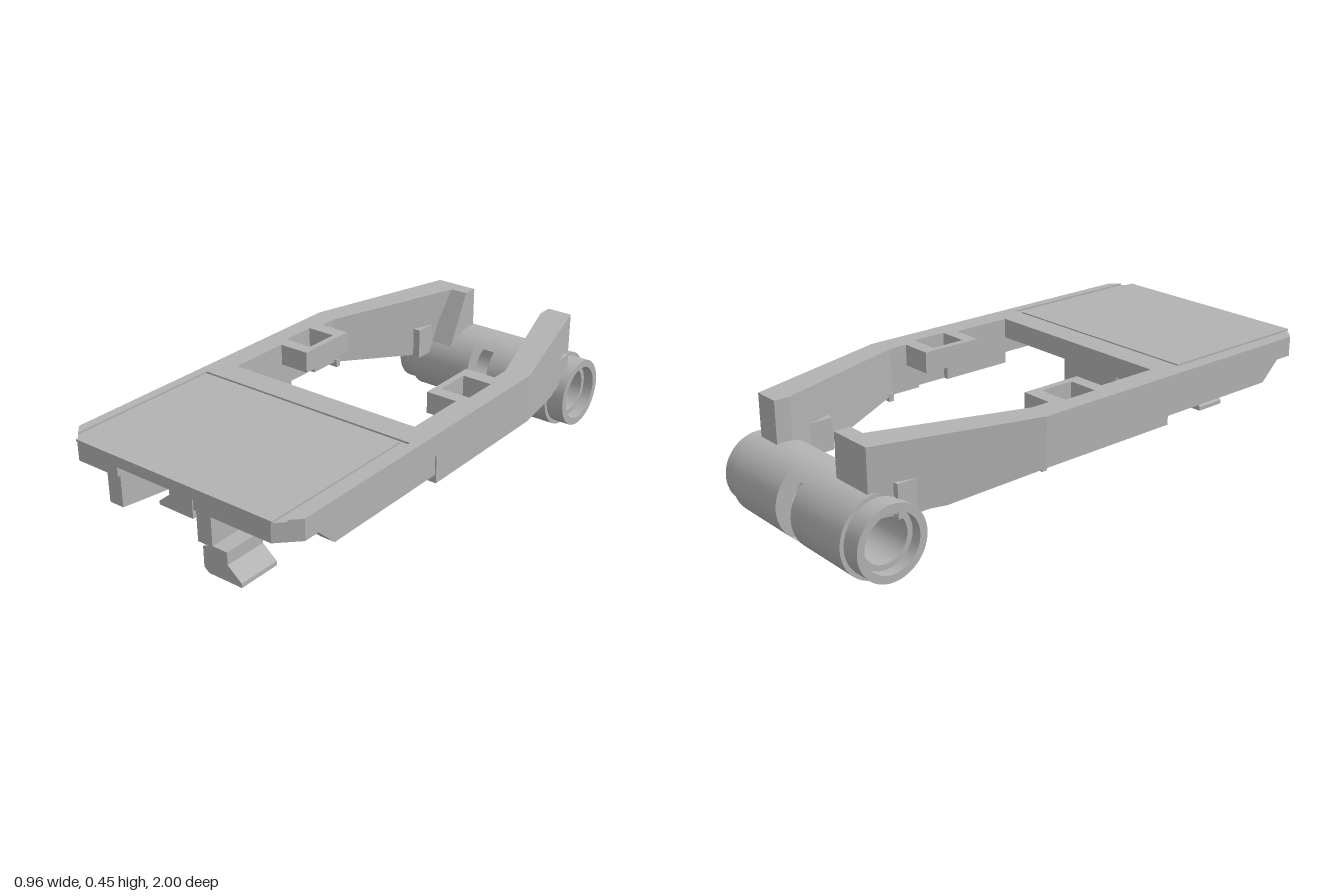
import * as THREE from 'three';
import { toCreasedNormals } from 'three/addons/utils/BufferGeometryUtils.js';

const grey = new THREE.MeshStandardMaterial({ color: 0xb2b2b2 });
grey.name = 'grey plastic';

const toShape = (pts) => new THREE.Shape(pts.map(([a, b]) => new THREE.Vector2(a, b)));
const extrude = (pts, depth) => new THREE.ExtrudeGeometry(toShape(pts), { depth, bevelEnabled: false });

// Outline in (x, z), filled from y0 to y1
const plan = (pts, y0, y1) => extrude(pts, y1 - y0).rotateX(Math.PI / 2).translate(0, y1, 0);
// Outline in (z, y), filled from x0 to x1
const side = (pts, x0, x1) => extrude(pts, x1 - x0).rotateY(-Math.PI / 2).translate(x1, 0, 0);
// Outline in (x, y), filled from z0 to z1
const front = (pts, z0, z1) => extrude(pts, z1 - z0).translate(0, 0, z0);
const box = (x0, x1, y0, y1, z0, z1) =>
  new THREE.BoxGeometry(x1 - x0, y1 - y0, z1 - z0).translate((x0 + x1) / 2, (y0 + y1) / 2, (z0 + z1) / 2);

export function createModel() {
  const model = new THREE.Group();
  const add = (name, geometry) => {
    const mesh = new THREE.Mesh(geometry, grey);
    mesh.name = name;
    model.add(mesh);
    return mesh;
  };

  // Front plate: full upper layer, lower layer with a pocket open to the front
  add('plateTop', plan([[-0.48, 0.27], [0.48, 0.27], [0.48, 0.93], [0.41, 1], [-0.41, 1], [-0.48, 0.93]], 0.41, 0.443));
  add('plateUnderside', plan([[-0.48, 0.27], [0.48, 0.27], [0.48, 0.93], [0.41, 1], [0.1, 1], [0.1, 0.43],
    [-0.23, 0.43], [-0.23, 1], [-0.41, 1], [-0.48, 0.93]], 0.375, 0.41));
  // Raised top panel and rims, leaving shallow grooves between
  add('topPanel', box(-0.415, 0.415, 0.443, 0.45, 0.38, 1));
  add('rearRim', box(-0.48, 0.48, 0.443, 0.45, 0.27, 0.37));

  for (const s of [1, -1]) {
    const mx = (pts) => pts.map(([x, z]) => [s * x, z]);
    const sideName = s > 0 ? 'left' : 'right';
    const span = (a, b) => (s > 0 ? [a, b] : [-b, -a]);

    add(sideName + 'Rim', plan(mx([[0.445, 0.37], [0.48, 0.37], [0.48, 0.93], [0.445, 0.965]]), 0.443, 0.45));
    // Side rail, notched for the window
    add(sideName + 'Rail', plan(mx([[0.39, -0.28], [0.48, -0.3], [0.48, 0.27], [0.39, 0.27], [0.39, -0.02],
      [0.41, -0.02], [0.41, -0.155], [0.39, -0.155]]), 0.27, 0.45));
    // Square socket on the inside of the rail
    add(sideName + 'Socket', plan(mx([[0.39, -0.21], [0.39, -0.155], [0.295, -0.155], [0.295, -0.02], [0.39, -0.02],
      [0.39, 0.03], [0.27, 0.03], [0.27, -0.21]]), 0.37, 0.45));
    // Underside fin with a sloping nose
    add(sideName + 'Fin', side([[0.87, 0.375], [0.79, 0.3], [0.25, 0.3], [0.25, 0.375]], ...span(0.42, 0.475)));
    add(sideName + 'Nub', box(...span(0.38, 0.46), 0.25, 0.28, -0.3, -0.28));

    // Converging arm, its lower edge dropping toward the barrel
    const arm = plan(mx([[0.48, -0.3], [0.383, -0.63], [0.31, -0.88], [0.21, -0.88], [0.21, -0.82],
      [0.273, -0.63], [0.39, -0.28]]), 0.2, 0.45);
    const p = arm.attributes.position;
    for (let i = 0; i < p.count; i++) {
      if (p.getY(i) < 0.3) p.setY(i, THREE.MathUtils.clamp(0.27 + (p.getZ(i) + 0.3) * 0.19, 0.205, 0.27));
    }
    arm.computeVertexNormals();
    add(sideName + 'Arm', arm);
    add(sideName + 'ArmFoot', box(...span(0.24, 0.355), 0.2, 0.32, -0.8, -0.64));
  }

  // Sloping gusset beside one arm
  add('armGusset', side([[-0.88, 0.45], [-0.82, 0.45], [-0.72, 0.25], [-0.88, 0.25]], -0.23, -0.14));

  // Stepped hollow barrel in two halves
  const profile = [[0.085, 0.045], [0.148, 0.045], [0.148, 0.32], [0.133, 0.32], [0.133, 0.39],
    [0.105, 0.39], [0.105, 0.35], [0.085, 0.35], [0.085, 0.045]].map(([r, h]) => new THREE.Vector2(r, h));
  for (const s of [1, -1]) {
    const half = toCreasedNormals(new THREE.LatheGeometry(profile, 48).rotateZ(-Math.PI / 2), 0.5);
    const mesh = add(s > 0 ? 'leftBarrel' : 'rightBarrel', half);
    mesh.position.set(0, 0.148, -0.85);
    if (s < 0) mesh.rotation.y = Math.PI;
  }
  // Curved bridges joining the halves above and below the slots
  for (const s of [1, -1]) {
    const arc = [];
    for (let i = 0; i <= 12; i++) {
      const a = (i / 12 - 0.5) * 1.4;
      arc.push([-0.85 + 0.148 * Math.sin(a), 0.148 + s * 0.148 * Math.cos(a)]);
    }
    add(s > 0 ? 'upperBridge' : 'lowerBridge', toCreasedNormals(side(arc, -0.046, 0.046), 0.5));
  }

  // Bracket below the plate: two legs, chamfered rear corners and a rear bar
  add('bracket', plan([[-0.29, 0.99], [-0.29, 0.43], [-0.2, 0.29], [0.07, 0.29], [0.16, 0.43], [0.16, 0.99],
    [0.1, 0.99], [0.1, 0.43], [-0.23, 0.43], [-0.23, 0.99]].map(([x, z]) => [x, z > 0.9 ? 0.8 : z]), 0.237, 0.376));
  for (const [name, x] of [['rightLegNose', -0.29], ['leftLegNose', 0.1]]) {
    add(name, side([[0.8, 0.376], [0.99, 0.376], [0.99, 0.26], [0.8, 0.237]], x, x + 0.06));
  }

  // Ring between the legs
  const ring = [[0.1, 0.33], [0.13, 0.33], [0.13, 0.412], [0.1, 0.412], [0.1, 0.33]]
    .map(([r, h]) => new THREE.Vector2(r, h));
  add('ring', toCreasedNormals(new THREE.LatheGeometry(ring, 32), 0.5)).position.set(-0.065, 0, 0.6);

  // Clip feet
  add('leftClip', front([[0.12, 0.25], [0.12, 0.175], [0.14, 0.16], [0.275, 0.16], [0.275, 0.175],
    [0.22, 0.22], [0.22, 0.265], [0.16, 0.265]], 0.83, 0.99));
  add('rightClip', front([[-0.28, 0.16], [-0.125, 0.16], [-0.125, 0.25], [-0.23, 0.25], [-0.23, 0.215],
    [-0.28, 0.175]], 0.67, 0.79));
  return model;
}
